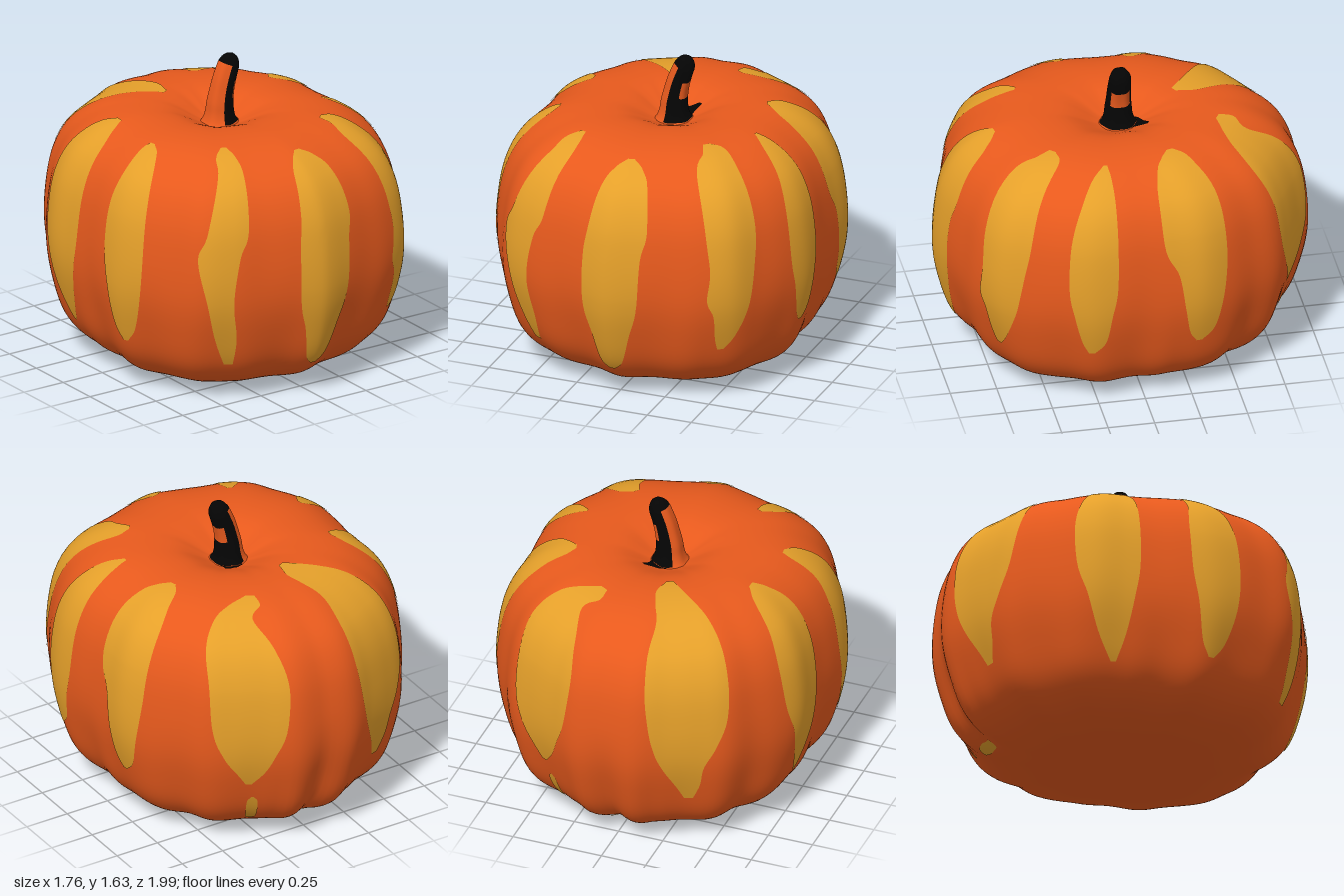
import * as THREE from 'three';
import { mergeVertices } from 'three/addons/utils/BufferGeometryUtils.js';

const RAD = Math.PI / 180;
const mat = (name, color) => {
  const m = new THREE.MeshStandardMaterial({ color });
  m.name = name;
  return m;
};

// Half plan outline: radius every 10 degrees from the front (+z) round to the back
const outline = new THREE.SplineCurve([
  0.99, 0.965, 0.958, 0.985, 1.0, 0.955, 0.94, 0.925, 0.885, 0.858,
  0.868, 0.908, 0.912, 0.915, 0.955, 0.95, 0.96, 1.0, 0.98,
].map((r, i) => new THREE.Vector2(i, r)));

// Side profile from the underside to the dip round the stem: radius factor, height
const profile = new THREE.SplineCurve([
  [0, 0.015], [0.25, 0.01], [0.42, 0.003], [0.61, 0.028], [0.775, 0.095], [0.89, 0.215],
  [0.96, 0.4], [1, 0.6], [0.995, 0.82], [0.953, 1.03], [0.86, 1.19], [0.7, 1.3],
  [0.51, 1.347], [0.3, 1.34], [0.12, 1.27], [0.04, 1.25],
].map(([f, y]) => new THREE.Vector2(f, y)));
const LAST = 15;

// Point on the skin: angle in degrees from +z towards +x, t in profile steps
function skin(deg, t) {
  const a = Math.abs(THREE.MathUtils.euclideanModulo(deg + 180, 360) - 180);
  const p = profile.getPoint(t / LAST);
  const low = (1 - THREE.MathUtils.smoothstep(p.y, 0.1, 0.8)) * THREE.MathUtils.smoothstep(p.x, 0.4, 0.8);
  const groove = (at, width) => Math.exp(-(((a - at) / width) ** 2));
  const ribs = 0.012 * Math.cos(15 * deg * RAD) - 0.035 * groove(180, 4) - 0.025 * groove(166, 4);
  const r = p.x * (outline.getPoint(a / 180).y + low * ribs);
  return new THREE.Vector3(r * Math.sin(deg * RAD), p.y, r * Math.cos(deg * RAD));
}

// Skin point pushed slightly outwards, for painted patches
function raisedSkin(deg, t) {
  const du = skin(deg + 0.5, t).sub(skin(deg - 0.5, t));
  const dv = skin(deg, t + 0.05).sub(skin(deg, t - 0.05));
  return skin(deg, t).addScaledVector(du.cross(dv).normalize(), 0.004);
}

// Grid surface over u, v in 0..1; keep(i, j) chooses which cells are built
function surface(fn, nu, nv, keep = () => true) {
  const pos = [], index = [];
  for (let j = 0; j <= nv; j++) {
    for (let i = 0; i <= nu; i++) pos.push(...fn(i / nu, j / nv).toArray());
  }
  for (let j = 0; j < nv; j++) {
    for (let i = 0; i < nu; i++) {
      if (!keep(i, j)) continue;
      const a = j * (nu + 1) + i, d = a + nu + 1;
      index.push(a, a + 1, d + 1, a, d + 1, d);
    }
  }
  const g = new THREE.BufferGeometry();
  g.setAttribute('position', new THREE.Float32BufferAttribute(pos, 3));
  g.setIndex(index);
  const merged = mergeVertices(g, 1e-5);
  merged.computeVertexNormals();
  return merged;
}

// Stripes: rows of [profile step, start angle, end angle] from bottom to top
const stripes = {
  frontStripe: [[4.75, -1, 1], [5.1, -3.5, 4], [6, -5.5, 7], [7, -8, 10], [8.15, -8, 11], [8.85, -7, 13],
    [10.1, -5.5, 12], [10.7, -3, 9], [11.1, 1, 4]],
  frontRightStripe: [[5.1, -33, -30], [6, -36, -29], [7, -38, -30], [8.15, -41, -28], [8.85, -38, -25],
    [10.5, -35, -25], [11.1, -36, -27], [11.6, -34, -31]],
  frontLeftStripe: [[5.65, 36, 38], [6, 35, 41], [6.75, 34, 45], [7.2, 32, 46.5], [7.9, 33, 48], [8.85, 32, 49.5],
    [10.5, 31, 49], [11.4, 36, 48], [11.8, 38, 42]],
  leftFrontStripe: [[5.85, 69, 71], [6.25, 67, 75], [7, 65, 77], [7.9, 63, 79], [8.85, 63, 79],
    [10.1, 65, 78], [10.9, 67, 76], [11.5, 71, 73]],
  leftBackStripe: [[5.85, 108, 110], [6.25, 105, 114], [7, 103, 116], [7.9, 101, 118], [8.85, 96, 119],
    [10.1, 96, 120], [11, 99, 119], [11.5, 104, 118], [11.85, 110, 114]],
  backLeftStripe: [[6.1, 154, 156], [6.5, 151, 160], [7, 147, 163], [7.9, 143, 167], [8.85, 142, 168],
    [10, 140, 165], [10.9, 142, 159], [11.4, 148, 164], [11.8, 158, 163]],
  backRightStripe: [[5.7, -154, -151], [6.2, -157, -149], [6.8, -161, -148], [7.4, -164, -144], [8.2, -166, -140],
    [9, -167, -139], [10, -167, -139], [11, -165, -141], [11.8, -167, -146], [12.3, -168, -151], [12.7, -162, -156]],
  rightBackStripe: [[5.2, -106, -104], [6, -110, -100], [7, -113, -97], [8, -117, -95], [9, -118, -95],
    [10.1, -117, -96], [11, -115, -101], [11.5, -110, -106]],
  rightFrontStripe: [[5.5, -70, -68], [6, -73, -64], [7, -75, -61], [8, -77, -60], [9, -77, -60],
    [10.1, -75, -61], [10.9, -74, -64], [11.3, -72, -69]],
  lowerSpot: [[4.4, 156, 157], [4.65, 154.5, 158.5], [5.3, 154.5, 158.5], [5.6, 156, 157]],
  backSpot: [[3.5, 173, 175], [3.65, 171, 180], [3.85, 173, 182], [4, 177, 181]],
};
// Dark paint spilling from the foot of the stem into the dip
const spill = [[13.6, 143, 150], [13.85, 139, 162], [14.15, 120, 195], [14.6, 100, 215]];

// Stem: bent centre line with a flared foot and a rounded tip
const stemLine = new THREE.CatmullRomCurve3([
  [0, 1.24, 0], [0, 1.3, 0], [0.005, 1.38, 0], [0.026, 1.48, 0], [0.056, 1.565, 0], [0.085, 1.63, 0],
].map((p) => new THREE.Vector3(...p)));
const stemRadius = new THREE.SplineCurve([0.12, 0.09, 0.075, 0.07, 0.064, 0.061, 0.058, 0.055, 0.052]
  .map((r, i) => new THREE.Vector2(i, r)));
function stemPoint(u, v) {
  const c = stemLine.getPoint(v), t = stemLine.getTangent(v);
  const across = new THREE.Vector3(t.y, -t.x, 0);
  const a = u * 2 * Math.PI;
  const tip = Math.max(0, (v - 0.8) / 0.2);
  const r = stemRadius.getPoint(v).y * Math.sqrt(1 - tip * tip) * (1 + 0.03 * Math.cos(6 * a));
  c.addScaledVector(across, r * Math.sin(a));
  c.z += r * Math.cos(a);
  return c;
}
// Dark paint covers the tip and one side, leaving a small bare window
function isDark(i, j) {
  const deg = (i + 0.5) * 7.5, v = (j + 0.5) / 40;
  if (v > 0.83) return true;
  if (deg > 37 && deg < 150 && v > 0.45 && v < 0.65) return false;
  return v > 0.1 && (deg < 212 || deg > 345);
}

export function createModel() {
  const group = new THREE.Group();
  group.name = 'pumpkin';
  const orange = mat('orange skin', 0xe85a1d);
  const yellow = mat('yellow stripe', 0xe5a02a);
  const black = mat('black stem', 0x050505);
  const add = (name, geometry, material) => {
    const mesh = new THREE.Mesh(geometry, material);
    mesh.name = name;
    group.add(mesh);
  };
  const paint = (name, rows, material) => {
    const edges = new THREE.CatmullRomCurve3(rows.map((r) => new THREE.Vector3(...r)));
    add(name, surface((u, v) => {
      const e = edges.getPoint(v);
      return raisedSkin(THREE.MathUtils.lerp(e.y, e.z, u), e.x);
    }, 14, 48), material);
  };

  add('body', surface((u, v) => skin(u * 360, v * LAST), 180, 90), orange);
  for (const [name, rows] of Object.entries(stripes)) paint(name, rows, yellow);
  paint('stemSpill', spill, black);
  add('stem', surface(stemPoint, 48, 40, (i, j) => !isDark(i, j)), orange);
  add('stemDarkSide', surface(stemPoint, 48, 40, isDark), black);
  return group;
}
